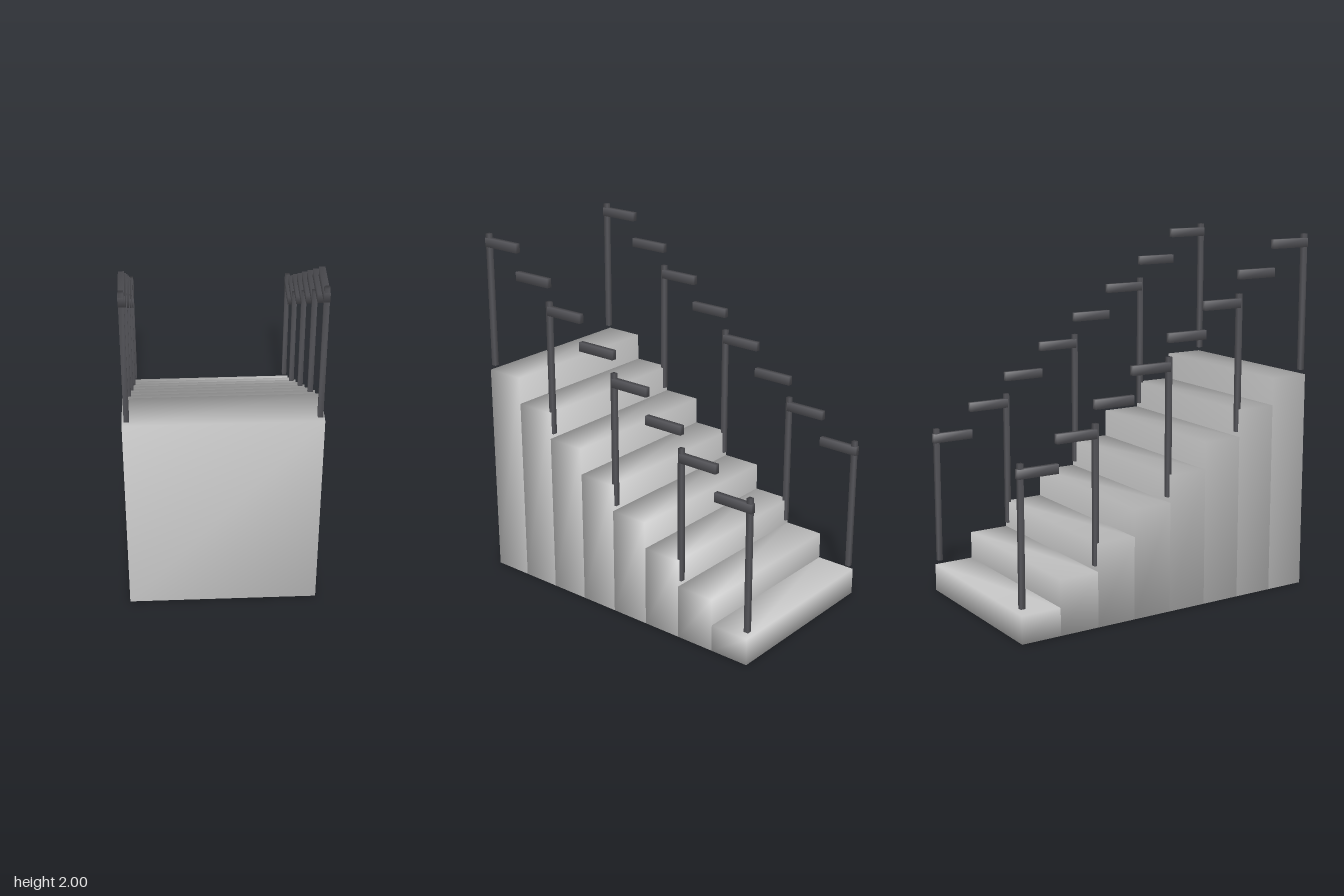
import * as THREE from 'three';
import { mergeVertices } from 'three/addons/utils/BufferGeometryUtils.js';

const stepMaterial = new THREE.MeshStandardMaterial({ color: 0xcccccc });
const railMaterial = new THREE.MeshStandardMaterial({ color: 0x55555a });

// Box with eight shared corners, so its shading is smooth across the edges
function softBox(w, h, d) {
  let g = new THREE.BoxGeometry(w, h, d);
  g.deleteAttribute('normal');
  g.deleteAttribute('uv');
  g = mergeVertices(g);
  g.computeVertexNormals();
  return g;
}

function addBox(parent, name, material, size, position) {
  const mesh = new THREE.Mesh(softBox(...size), material);
  mesh.name = name;
  mesh.position.set(...position);
  parent.add(mesh);
}

export function createModel() {
  const model = new THREE.Group();
  model.name = 'staircase';

  const count = 8, rise = 0.1523, run = 0.2275, width = 1.01;
  const back = -run * count / 2;

  // Solid steps, climbing from the back to the front
  const steps = new THREE.Group();
  steps.name = 'steps';
  model.add(steps);
  for (let i = 0; i < count; i++) {
    const h = rise * (i + 1);
    addBox(steps, `step${i + 1}`, stepMaterial, [width, h, run], [0, h / 2, back + run * (i + 0.5)]);
  }

  // One railing per side: a short level bar over each step, a post at every second step
  const postHeight = 0.757;
  const posts = [[-0.895, 0.182], [-0.455, 0.334], [0, 0.638], [0.456, 0.94], [0.897, 1.243]];
  for (const side of [1, -1]) {
    const railing = new THREE.Group();
    railing.name = side > 0 ? 'leftRailing' : 'rightRailing';
    model.add(railing);
    const x = side * 0.48;
    for (let i = 0; i < count; i++) {
      addBox(railing, `handrail${i + 1}`, railMaterial, [0.03, 0.05, 0.236],
        [x, 0.885 + rise * i, back + run * (i + 0.5)]);
    }
    posts.forEach(([z, y], i) => {
      addBox(railing, `post${i + 1}`, railMaterial, [0.027, postHeight, 0.027], [x, y + postHeight / 2, z]);
    });
  }
  return model;
}
